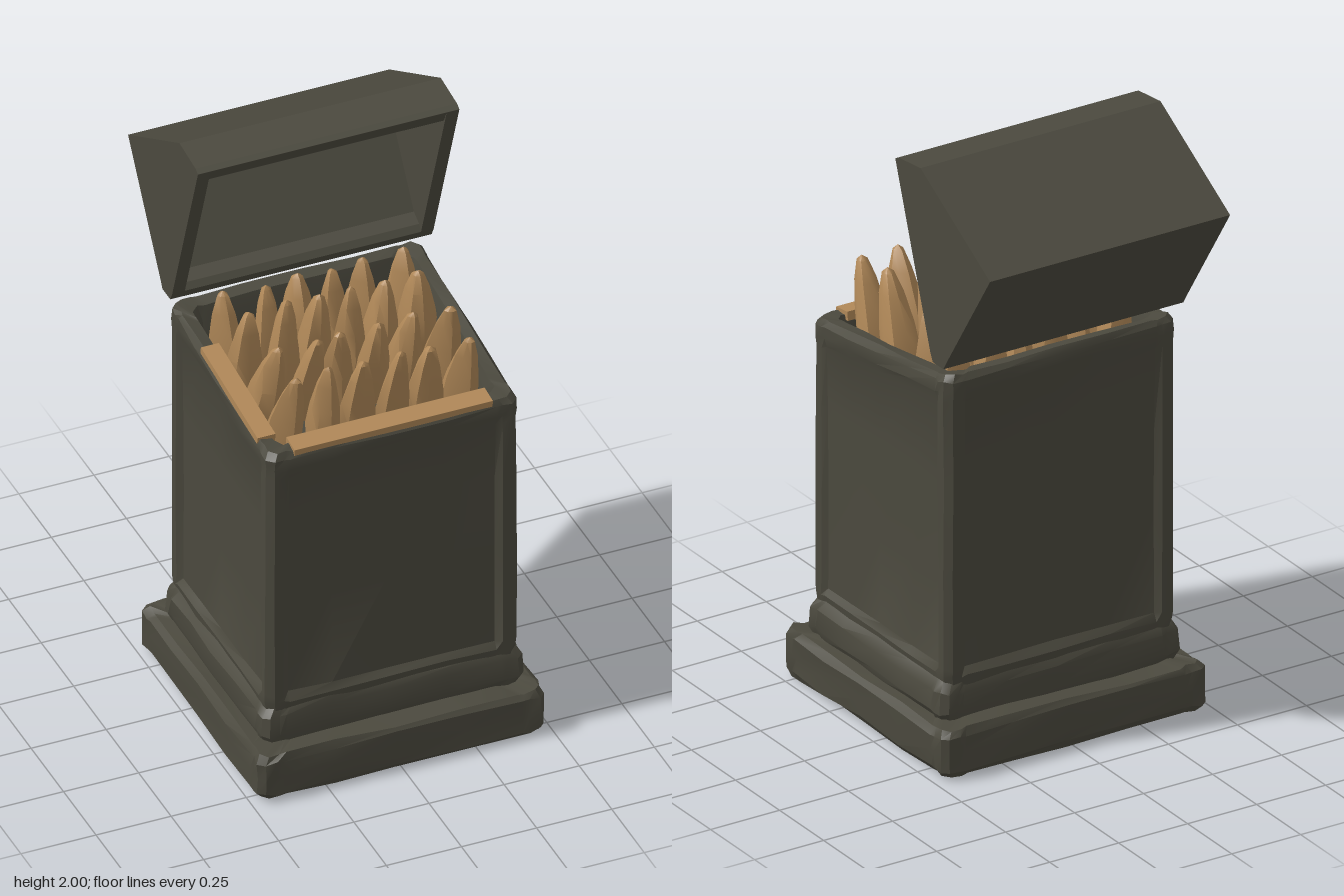
import * as THREE from 'three';
import { toCreasedNormals } from 'three/addons/utils/BufferGeometryUtils.js';

const stone = new THREE.MeshStandardMaterial({ color: 0x4b493e });
stone.name = 'dark weathered stone';
const tan = new THREE.MeshStandardMaterial({ color: 0xb08858 });
tan.name = 'tan bone';

// small seeded generator for worn edges
let seed = 7;
const rnd = () => {
  seed = (seed * 16807) % 2147483647;
  return seed / 2147483647;
};
const wear = (a) => (rnd() - 0.5) * 2 * a;

function add(parent, name, geo, mat) {
  const mesh = new THREE.Mesh(geo, mat);
  mesh.name = name;
  parent.add(mesh);
  return mesh;
}

// points along one side, from corner to corner
const STEPS = [-1, -0.92, -0.87, -0.45, 0.05, 0.5, 0.87, 0.92, 1];

// chamfered rectangle: half sizes, z centre, height, slope along z, panel inset, wear
function ring({ hx, hz, cz, y, tilt = 0, inset = 0, c = 0.025, w = 0.005 }) {
  const pts = [];
  for (let side = 0; side < 4; side++) {
    const along = side % 2 ? hz : hx;
    const out = side % 2 ? hx : hz;
    for (const t of STEPS) {
      const a = -t * (along - c);
      const o = out - (Math.abs(t) < 0.9 ? inset : 0) - rnd() * w;
      const [x, z] = [[a, o], [-o, a], [-a, -o], [o, -a]][side];
      pts.push(new THREE.Vector3(x, y + tilt * (z + cz) + wear(w * 0.7), z + cz));
    }
  }
  return pts;
}

// skin stacked rings and close both ends
function loft(rings) {
  const n = rings[0].length;
  const pos = rings.flat().flatMap((p) => [p.x, p.y, p.z]);
  const idx = [];
  for (let i = 0; i < rings.length - 1; i++) {
    for (let j = 0; j < n; j++) {
      const a = i * n + j, b = i * n + (j + 1) % n;
      idx.push(a, a + n, b, b, a + n, b + n);
    }
  }
  const cap = (start, flip) => {
    const mid = new THREE.Vector3();
    for (let j = 0; j < n; j++) mid.addScaledVector(rings[start / n][j], 1 / n);
    const m = pos.length / 3;
    pos.push(mid.x, mid.y, mid.z);
    for (let j = 0; j < n; j++) {
      const a = start + j, b = start + (j + 1) % n;
      idx.push(m, flip ? b : a, flip ? a : b);
    }
  };
  cap(0, false);
  cap((rings.length - 1) * n, true);
  const geo = new THREE.BufferGeometry();
  geo.setAttribute('position', new THREE.Float32BufferAttribute(pos, 3));
  geo.setIndex(idx);
  return toCreasedNormals(geo, 0.5);
}

// profile given as [z, y], extruded along x and centred at x
function slab(profile, width, x) {
  const shape = new THREE.Shape(profile.map(([z, y]) => new THREE.Vector2(z, y)));
  const geo = new THREE.ExtrudeGeometry(shape, { depth: width, bevelEnabled: false });
  geo.rotateY(-Math.PI / 2);
  geo.translate(x + width / 2, 0, 0);
  return geo;
}

// curved spike from its root to a leaning blunt tip
function spike(x, z, tipX, tipZ, tipY, r) {
  const y0 = 1.1, h = tipY - y0;
  const profile = [[r, 0], [r * 1.08, 0.25], [r * 0.92, 0.5], [r * 0.62, 0.78], [r * 0.3, 0.96], [0, 1]]
    .map(([a, b]) => new THREE.Vector2(a, b));
  const geo = new THREE.LatheGeometry(profile, 8);
  const p = geo.attributes.position;
  const turn = rnd() * 6;
  for (let i = 0; i < p.count; i++) {
    const t = p.getY(i);
    const ang = Math.atan2(p.getZ(i), p.getX(i));
    const bump = 1 + 0.13 * Math.sin(ang * 3 + turn + t * 2);
    const bend = Math.pow(t, 1.2);
    p.setXYZ(i,
      x + p.getX(i) * bump + (tipX - x) * bend,
      y0 + h * t,
      z + p.getZ(i) * bump + (tipZ - z) * bend);
  }
  return toCreasedNormals(geo, 0.7);
}

export function createModel() {
  const model = new THREE.Group();
  model.name = 'openBin';

  // plinth with a hollow underside
  const base = { cz: 0.095 };
  add(model, 'plinth', loft([
    { hx: 0.39, hz: 0.37, y: 0.03 }, { hx: 0.41, hz: 0.4, y: 0.01 },
    { hx: 0.465, hz: 0.45, y: 0.008 }, { hx: 0.482, hz: 0.466, y: 0.028 },
    { hx: 0.482, hz: 0.466, y: 0.09 }, { hx: 0.482, hz: 0.466, y: 0.145 },
    { hx: 0.468, hz: 0.452, y: 0.165 }, { hx: 0.4, hz: 0.37, y: 0.168 },
  ].map((r) => ring({ ...base, w: 0.009, ...r }))), stone);

  // moulding between plinth and body
  add(model, 'moulding', loft([
    { hx: 0.428, hz: 0.385, y: 0.16 }, { hx: 0.44, hz: 0.394, y: 0.19 },
    { hx: 0.437, hz: 0.391, y: 0.255 }, { hx: 0.418, hz: 0.38, y: 0.285 },
    { hx: 0.4, hz: 0.365, y: 0.305 },
  ].map((r) => ring({ cz: 0.095, w: 0.008, ...r }))), stone);

  // body with sunken panels, sloping rim and open cavity
  const tilt = -0.13;
  add(model, 'body', loft([
    { hx: 0.415, hz: 0.38, y: 0.27 }, { hx: 0.42, hz: 0.385, y: 0.305 },
    { hx: 0.42, hz: 0.385, y: 0.33, inset: 0.016 }, { hx: 0.42, hz: 0.385, y: 0.65, inset: 0.018 },
    { hx: 0.42, hz: 0.386, y: 0.95, inset: 0.016 },
    { hx: 0.42, hz: 0.386, y: 1.2, tilt, inset: 0.012 }, { hx: 0.42, hz: 0.387, y: 1.235, tilt },
    { hx: 0.42, hz: 0.387, y: 1.272, tilt }, { hx: 0.407, hz: 0.375, y: 1.292, tilt },
    { hx: 0.37, hz: 0.335, y: 1.287, tilt }, { hx: 0.355, hz: 0.325, y: 1.24, tilt },
    { hx: 0.345, hz: 0.315, y: 1.12 },
  ].map((r) => ring({ cz: 0.095, w: 0.006, ...r }))), stone);

  // tan gum strips lying on the front and right rim
  const gums = new THREE.Group();
  gums.name = 'gums';
  model.add(gums);
  for (const [x, z, w, d] of [[0.0, 0.445, 0.66, 0.065], [-0.385, 0.17, 0.06, 0.44]]) {
    const strip = add(gums, 'gumStrip', new THREE.BoxGeometry(w, 0.03, d), tan);
    strip.position.set(x, 1.286 + tilt * z, z);
    strip.rotation.x = -tilt;
  }

  // four rows of spikes: root z, tip z, tip height
  const teeth = new THREE.Group();
  teeth.name = 'teeth';
  model.add(teeth);
  const columns = [-0.295, -0.165, -0.06, 0.06, 0.16, 0.29];
  const rows = [[0.305, 0.405, 1.46], [0.14, 0.245, 1.475], [-0.02, 0.025, 1.46], [-0.12, -0.11, 1.455]];
  for (const [z, tipZ, tipY] of rows) {
    columns.forEach((x, i) => {
      const r = (i === 1 || i === 3 ? 0.05 : 0.057) + wear(0.004);
      add(teeth, 'tooth', spike(x, z + wear(0.012), x + wear(0.018), tipZ + wear(0.008), tipY - rnd() * 0.025, r), tan);
    });
  }

  // hollow lid tipped back, open towards the front
  const lid = new THREE.Group();
  lid.name = 'lid';
  model.add(lid);
  const outer = [[-0.022, 1.975], [-0.04, 1.985], [-0.165, 2.0], [-0.56, 1.775],
    [-0.31, 1.395], [-0.295, 1.37], [-0.235, 1.37], [-0.22, 1.4]];
  const inner = [[-0.235, 1.42], [-0.275, 1.44], [-0.5, 1.77], [-0.17, 1.95], [-0.045, 1.93]];
  add(lid, 'lidShell', slab([...outer, ...inner], 0.79, 0), stone);
  for (const s of [-1, 1]) {
    add(lid, 'lidEnd', slab(outer, 0.042, s * 0.414), stone);
  }

  return model;
}
